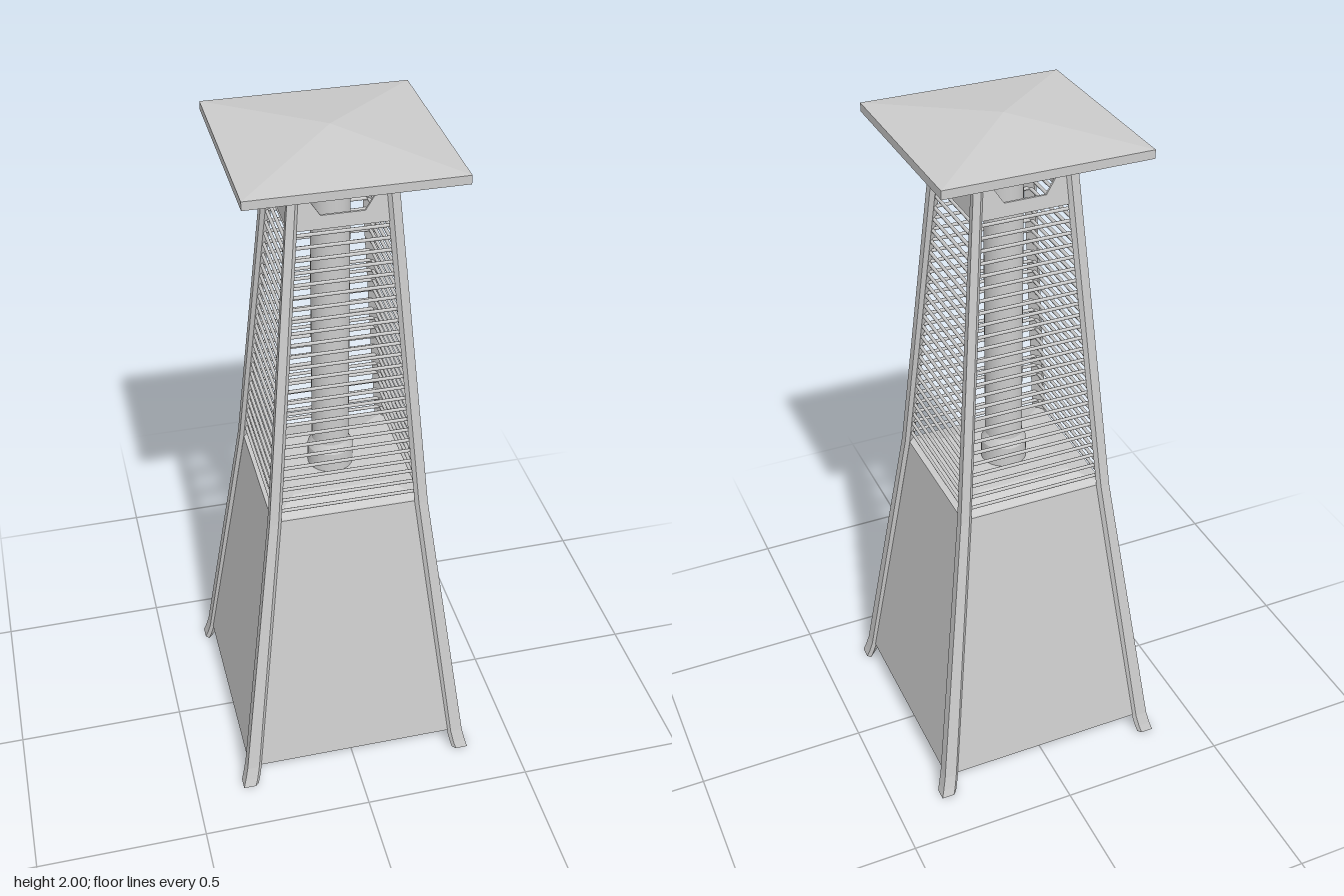
import * as THREE from 'three';

const metal = new THREE.MeshStandardMaterial({ color: 0xcccccc });
const flat = new THREE.MeshStandardMaterial({ color: 0xcccccc, flatShading: true });
const sheet = new THREE.MeshStandardMaterial({ color: 0xcccccc, side: THREE.DoubleSide });

function add(parent, name, geometry, material = metal) {
  const mesh = new THREE.Mesh(geometry, material);
  mesh.name = name;
  parent.add(mesh);
  return mesh;
}

// Square frustum between two heights, given half widths
function frustum(y0, half0, y1, half1) {
  const g = new THREE.CylinderGeometry(half1 * Math.SQRT2, half0 * Math.SQRT2, y1 - y0, 4, 1, false, Math.PI / 4);
  return g.translate(0, (y0 + y1) / 2, 0);
}

// Leg stations: height, outer corner offset, flange width
const stations = [
  [0, 0.357, 0.037], [0.025, 0.35, 0.037], [0.065, 0.341, 0.036],
  [0.92, 0.229, 0.026], [1.89, 0.142, 0.02],
];

// Outer corner offset of the legs at a height
function legOffset(y) {
  const i = Math.max(1, stations.findIndex((s) => s[0] >= y));
  const [a, b] = [stations[i - 1], stations[i]];
  return THREE.MathUtils.mapLinear(y, a[0], b[0], a[1], b[1]);
}

// Five-sided corner section lofted through the stations
function legGeometry() {
  const pos = [], index = [], n = 5, last = stations.length - 1;
  stations.forEach(([y, a, w], s) => {
    const d = 0.01, drop = s === last ? 0.02 : 0;
    const ring = [[a, a], [a - w, a], [a - w - d, a - d], [a - d, a - w - d], [a, a - w]];
    ring.forEach(([x, z], k) => pos.push(x, y + (k === 0 ? drop / 2 : -drop * (k === 2 || k === 3 ? 1 : 0.4)), z));
    if (s === 0) return;
    for (let k = 0; k < n; k++) {
      const i = (s - 1) * n + k, j = (s - 1) * n + (k + 1) % n;
      index.push(i, i + n, j + n, i, j + n, j);
    }
  });
  for (let k = 1; k < n - 1; k++) {
    index.push(0, k, k + 1, last * n, last * n + k + 1, last * n + k);
  }
  const g = new THREE.BufferGeometry();
  g.setAttribute('position', new THREE.Float32BufferAttribute(pos, 3));
  g.setIndex(index);
  const out = g.toNonIndexed();
  out.computeVertexNormals();
  return out;
}

// Notched plate joining two neighbouring legs at the top, leaning with them
function collarGeometry() {
  const half = [[0.128, 1.87], [0.09, 1.87], [0.058, 1.822]];
  const shape = new THREE.Shape();
  shape.moveTo(-0.138, 1.785);
  shape.lineTo(0.138, 1.785);
  half.forEach(([x, y]) => shape.lineTo(x, y));
  [...half].reverse().forEach(([x, y]) => shape.lineTo(-x, y));
  const g = new THREE.ExtrudeGeometry(shape, { depth: 0.006, bevelEnabled: false });
  const p = g.attributes.position;
  for (let i = 0; i < p.count; i++) p.setZ(i, p.getZ(i) + legOffset(p.getY(i)) - 0.016);
  g.computeVertexNormals();
  return g;
}

export function createModel() {
  const model = new THREE.Group();
  model.name = 'patioHeater';

  // Tapered cabinet and its chamfered lid
  add(model, 'cabinet', frustum(0.065, 0.333, 0.92, 0.218), flat);
  add(model, 'cabinetLid', frustum(0.92, 0.212, 0.945, 0.14), flat);

  // Four identical sides: leg, guard bars and top collar
  const legGeo = legGeometry(), collarGeo = collarGeometry();
  const barCount = 25;
  for (let side = 0; side < 4; side++) {
    const group = new THREE.Group();
    group.name = 'side' + (side + 1);
    group.rotation.y = side * Math.PI / 2;
    model.add(group);
    add(group, 'leg', legGeo);
    add(group, 'topCollar', collarGeo);
    const guard = new THREE.Group();
    guard.name = 'guard';
    group.add(guard);
    for (let i = 0; i < barCount; i++) {
      const y = 0.95 + i * (1.77 - 0.95) / (barCount - 1);
      const a = legOffset(y);
      const bar = new THREE.CylinderGeometry(0.005, 0.005, 2 * (a - 0.014), 8).rotateZ(Math.PI / 2);
      add(guard, 'guardBar', bar).position.set(0, y, a - 0.018);
    }
  }

  // Flame tube with its stepped foot
  const tube = [[0.065, 0.94], [0.065, 1.005], [0.053, 1.03], [0.053, 1.83]];
  for (let i = 1; i < tube.length; i++) {
    const [[r0, y0], [r1, y1]] = [tube[i - 1], tube[i]];
    const g = new THREE.CylinderGeometry(r1, r0, y1 - y0, 32, 1, true);
    add(model, 'flameTube', g, sheet).position.y = (y0 + y1) / 2;
  }

  // Flared burner cup with a rim
  add(model, 'burnerCup', new THREE.CylinderGeometry(0.07, 0.053, 0.075, 32), metal).position.y = 1.8675;
  add(model, 'burnerRim', new THREE.CylinderGeometry(0.075, 0.075, 0.012, 32), metal).position.y = 1.909;

  // Posts carrying the hood
  for (let i = 0; i < 4; i++) {
    const angle = i * Math.PI / 2;
    const post = add(model, 'hoodPost', new THREE.CylinderGeometry(0.004, 0.004, 0.04, 8));
    post.position.set(0.068 * Math.cos(angle), 1.928, 0.068 * Math.sin(angle));
  }

  // Pyramid hood with an upright edge
  add(model, 'hoodEdge', new THREE.BoxGeometry(0.566, 0.024, 0.566)).position.y = 1.952;
  add(model, 'hoodRoof', frustum(1.964, 0.283, 2, 0), flat);

  return model;
}
